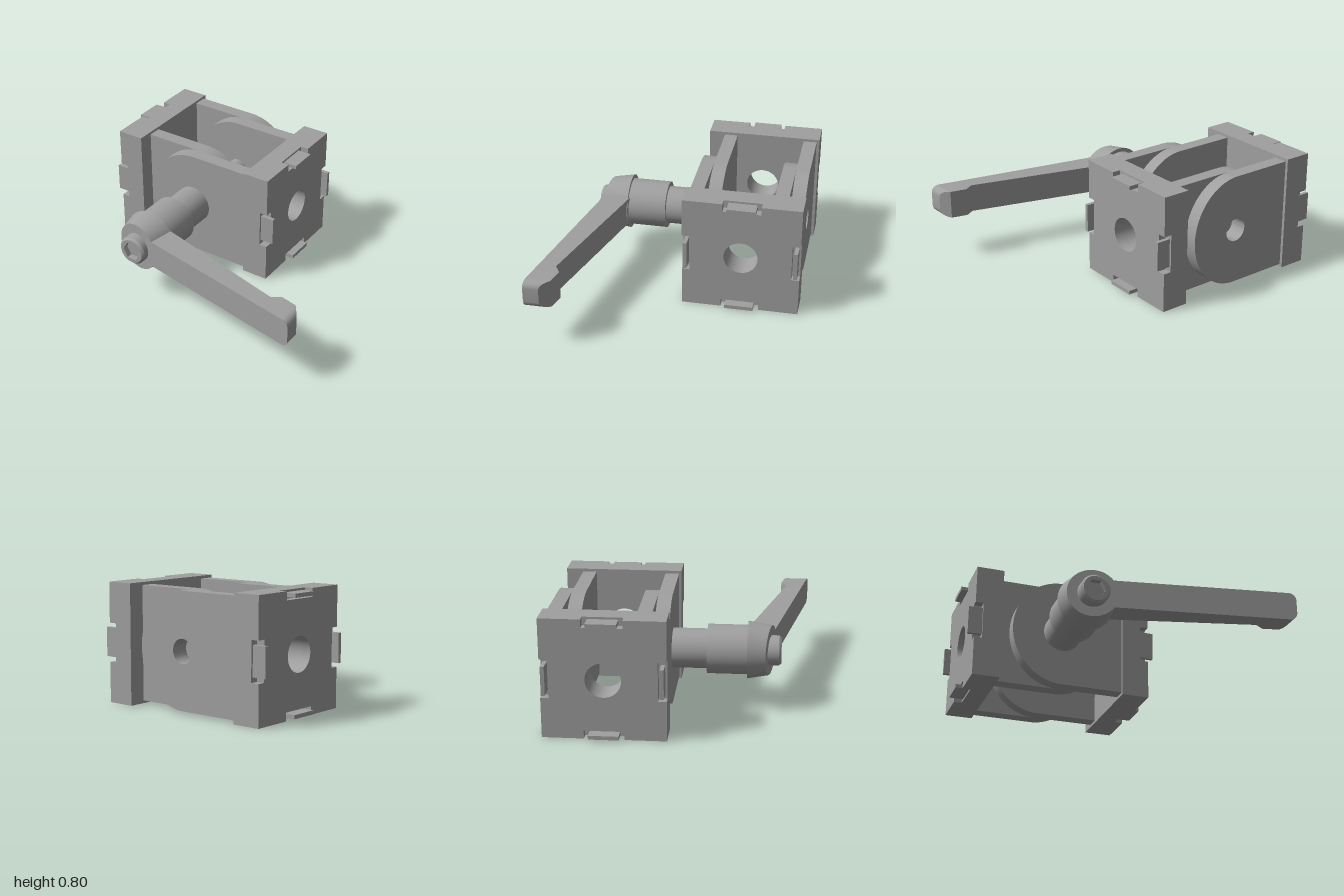
import * as THREE from 'three';
import { toCreasedNormals } from 'three/addons/utils/BufferGeometryUtils.js';

const PX = -0.333, PY = 0.4, PZ = -0.45; // pivot axis and plate centre
const grey = new THREE.MeshStandardMaterial({ color: 0xa0a0a0 });
grey.name = 'grey metal';

function add(parent, name, geometry, x = 0, y = 0, z = 0) {
  const mesh = new THREE.Mesh(geometry, grey);
  mesh.name = name;
  mesh.position.set(x, y, z);
  parent.add(mesh);
  return mesh;
}

const crease = (g, angle = 0.5) => toCreasedNormals(g.index ? g.toNonIndexed() : g, angle);

const extrude = (shape, depth) =>
  crease(new THREE.ExtrudeGeometry(shape, { depth, bevelEnabled: false, curveSegments: 32 }));

function polygon(points) {
  return new THREE.Shape(points.map(([x, y]) => new THREE.Vector2(x, y)));
}

function circleHole(shape, x, y, r) {
  shape.holes.push(new THREE.Path().absarc(x, y, r, 0, Math.PI * 2, true));
  return shape;
}

// Solid of revolution around z from [radius, z] points
function turned(points) {
  const g = new THREE.LatheGeometry(points.map(([r, z]) => new THREE.Vector2(r, z)), 48);
  return crease(g.rotateX(Math.PI / 2));
}

// End plate with a bore, four edge pockets and four tabs, outer side towards +x
function makePlate(name) {
  const plate = new THREE.Group();
  plate.name = name;
  const half = 0.4, w = 0.13, depth = 0.055, inner = 0.135;
  const square = polygon([[-half, -half], [half, -half], [half, half], [-half, half]]);
  const notched = [];
  for (let i = 0; i < 4; i++) {
    const c = Math.round(Math.cos(i * Math.PI / 2)), s = Math.round(Math.sin(i * Math.PI / 2));
    for (const [x, y] of [[-half, -half], [-w, -half], [-w, depth - half], [w, depth - half], [w, -half]])
      notched.push([x * c - y * s, x * s + y * c]);
  }
  add(plate, 'plateBody', extrude(circleHole(square, 0, 0, 0.115), inner).rotateY(Math.PI / 2));
  add(plate, 'plateFace', extrude(circleHole(polygon(notched), 0, 0, 0.115), depth).rotateY(Math.PI / 2), inner);
  for (let i = 0; i < 4; i++) {
    const tab = new THREE.BoxGeometry(0.097, 0.026, 0.195);
    tab.translate(inner + 0.0485, 0.373, 0).rotateX(i * Math.PI / 2);
    add(plate, 'tab', tab);
  }
  return plate;
}

// Hinge arm: straight from the plate, rounded around the pivot
function makeArm(side, bored) {
  const s = new THREE.Shape();
  const reach = 0.437, r = 0.381;
  s.moveTo(reach, -r);
  s.lineTo(reach, r);
  s.lineTo(0, r);
  s.absellipse(0, 0, 0.353, r, Math.PI / 2, Math.PI * 1.5, false);
  if (bored) circleHole(s, 0, 0, 0.08);
  const g = extrude(s, 0.094);
  return side < 0 ? g.rotateY(Math.PI).translate(0, 0, 0.094) : g;
}

const frontZ = x => 0.55 + 0.193 * (x + 0.505); // sloping front of hub and lever

// Lever from rectangular sections: [x, half height, back z]
function makeLever() {
  const sections = [[-0.21, 0.097, 0.42], [0.775, 0.097, 0.679], [0.84, 0.097, 0.64]];
  for (let i = 0; i <= 8; i++) {
    const a = i / 8 * Math.PI / 2, dx = 0.05 * Math.sin(a);
    sections.push([0.95 + dx, 0.047 + 0.05 * Math.cos(a), 0.665 + 1.4 * dx]);
  }
  const pos = [], index = [];
  sections.forEach(([x, h, back], k) => {
    const f = frontZ(x);
    pos.push(x, -h, back, x, h, back, x, h, f, x, -h, f);
    if (k === 0) return;
    const p = (k - 1) * 4, n = k * 4;
    for (let i = 0; i < 4; i++) {
      const j = (i + 1) % 4;
      index.push(p + i, p + j, n + j, p + i, n + j, n + i);
    }
  });
  const e = (sections.length - 1) * 4;
  index.push(0, 2, 1, 0, 3, 2, e, e + 1, e + 2, e, e + 2, e + 3);
  const g = new THREE.BufferGeometry();
  g.setAttribute('position', new THREE.Float32BufferAttribute(pos, 3));
  g.setIndex(index);
  return crease(g, 0.3);
}

// Tapered hub whose front is cut along the lever slope
function makeHub() {
  const g = new THREE.CylinderGeometry(0.167, 0.192, 1, 48).rotateX(Math.PI / 2);
  const p = g.attributes.position;
  for (let i = 0; i < p.count; i++)
    p.setZ(i, p.getZ(i) > 0 ? frontZ(p.getX(i) + PX) : 0.432);
  return crease(g);
}

// Cap screw with hexagonal socket
function makeScrew(parent) {
  add(parent, 'screwHead', turned([[0.1, 0.5], [0.1, 0.64], [0.086, 0.655]]), PX, PY);
  const face = new THREE.Shape().absarc(0, 0, 0.086, 0, Math.PI * 2, false);
  const hex = [];
  for (let i = 0; i < 6; i++) {
    const a = -i * Math.PI / 3;
    hex.push(new THREE.Vector2(0.066 * Math.cos(a), 0.066 * Math.sin(a)));
  }
  face.holes.push(new THREE.Path(hex));
  add(parent, 'hexSocket', extrude(face, 0.04), PX, PY, 0.615);
  add(parent, 'socketFloor', new THREE.CircleGeometry(0.08, 24), PX, PY, 0.616);
}

export function createModel() {
  const model = new THREE.Group();
  model.name = 'lockingHinge';

  // End plates
  const leftPlate = makePlate('leftPlate');
  leftPlate.position.set(0.101, PY, PZ);
  const rightPlate = makePlate('rightPlate');
  rightPlate.position.set(-0.767, PY, PZ);
  rightPlate.rotation.y = Math.PI;
  model.add(leftPlate, rightPlate);

  // Two interleaved pairs of hinge arms
  for (const [name, side, z, bored] of [
    ['rightRearArm', -1, -0.83, true], ['leftRearArm', 1, -0.736, true],
    ['rightFrontArm', -1, -0.255, false], ['leftFrontArm', 1, -0.161, false],
  ]) add(model, name, makeArm(side, bored), PX, PY, z);

  // Pivot rod and stepped clamping spindle
  add(model, 'pivotRod', turned([[0, -0.71], [0.079, -0.71], [0.079, -0.25]]), PX, PY);
  add(model, 'spindle', turned([[0.133, -0.07], [0.133, 0.165], [0.165, 0.165], [0.165, 0.44]]), PX, PY);

  // Clamping lever
  add(model, 'leverHub', makeHub(), PX, PY);
  add(model, 'lever', makeLever(), 0, 0.403);
  makeScrew(model);
  return model;
}
